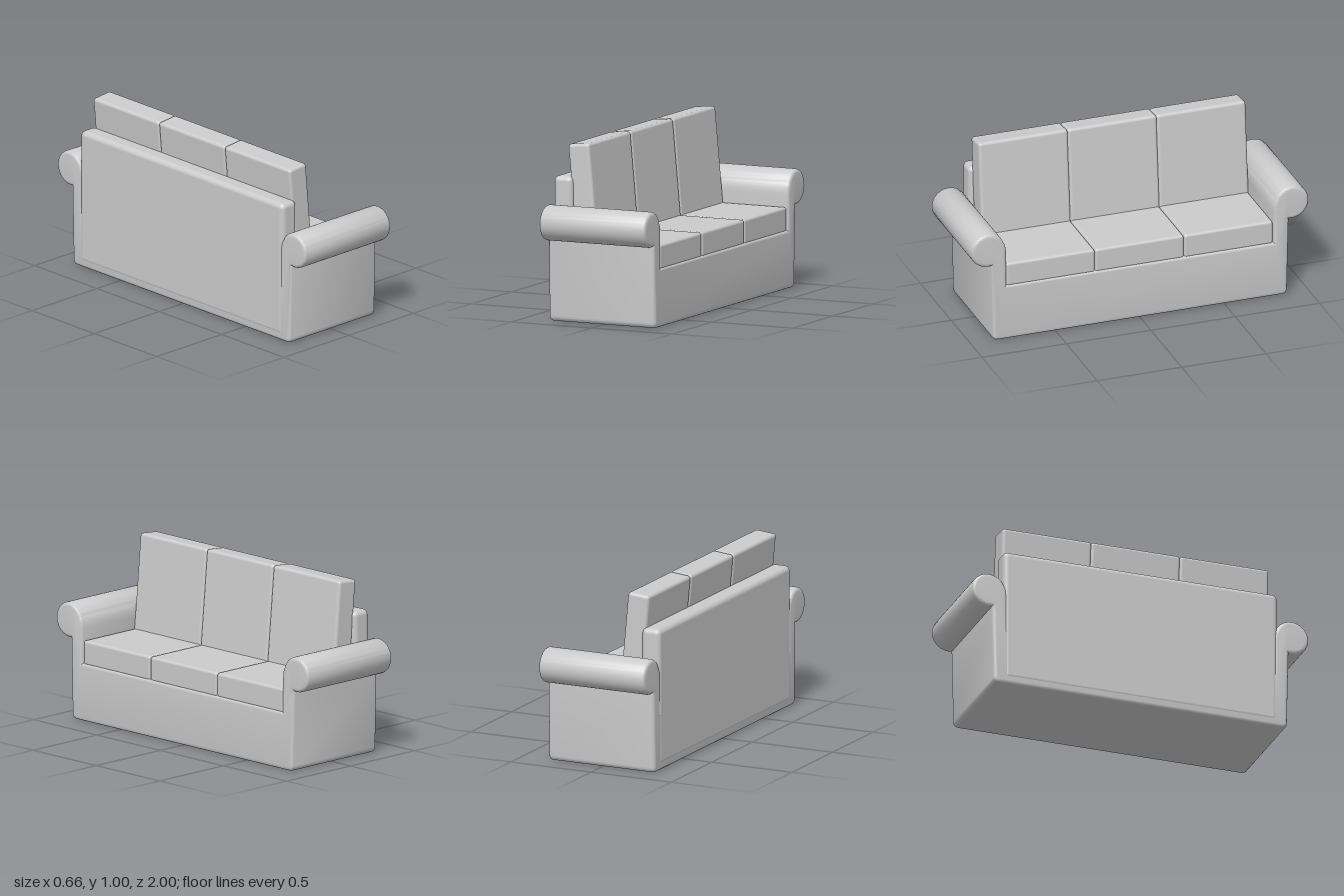
import * as THREE from 'three';
import { toCreasedNormals } from 'three/addons/utils/BufferGeometryUtils.js';
import { RoundedBoxGeometry } from 'three/addons/geometries/RoundedBoxGeometry.js';

const material = new THREE.MeshStandardMaterial({ color: 0xcccccc });

// Rounded block centred at x, y, z, optionally leaning back
function cushion(name, size, position, radius, lean = 0) {
  const mesh = new THREE.Mesh(new RoundedBoxGeometry(...size, 4, radius), material);
  mesh.name = name;
  mesh.position.set(...position);
  mesh.rotation.z = lean;
  return mesh;
}

// Base and both rolled arms share one cross-section, swept from back to front
function frameGeometry() {
  const deck = 0.33, inner = 0.79, rollZ = 0.9, rollY = 0.56, r = 0.1;
  const s = new THREE.Shape();
  s.moveTo(-0.84, 0);
  s.lineTo(0.84, 0);
  s.quadraticCurveTo(0.872, 0, 0.873, 0.035);
  s.lineTo(0.882, 0.44);
  s.absarc(rollZ, rollY, r, -1.75, Math.PI * 0.9, false);
  s.quadraticCurveTo(inner, 0.57, inner, 0.52);
  s.lineTo(inner, deck);
  s.lineTo(-inner, deck);
  s.lineTo(-inner, 0.52);
  s.quadraticCurveTo(-inner, 0.57, -rollZ - r * Math.cos(Math.PI * 0.9), rollY + r * Math.sin(Math.PI * 0.9));
  s.absarc(-rollZ, rollY, r, Math.PI * 0.1, Math.PI + 1.75, false);
  s.lineTo(-0.873, 0.035);
  s.quadraticCurveTo(-0.872, 0, -0.84, 0);

  const bevel = 0.02;
  const geometry = new THREE.ExtrudeGeometry(s, {
    depth: 0.66 - 2 * bevel, curveSegments: 20,
    bevelThickness: bevel, bevelSize: bevel, bevelOffset: -bevel, bevelSegments: 4,
  });
  geometry.translate(0, 0, bevel - 0.33);
  geometry.rotateY(Math.PI / 2);
  return toCreasedNormals(geometry, 0.7);
}

export function createModel() {
  const sofa = new THREE.Group();
  sofa.name = 'sofa';

  const frame = new THREE.Mesh(frameGeometry(), material);
  frame.name = 'baseAndRolledArms';
  sofa.add(frame);

  // Upright back panel
  sofa.add(cushion('backPanel', [0.115, 0.78, 1.63], [-0.275, 0.42, 0], 0.03));

  // Three seat cushions with leaning back cushions behind them
  const pitch = 0.527;
  for (let i = -1; i <= 1; i++) {
    const z = i * pitch;
    sofa.add(cushion('seatCushion', [0.53, 0.14, pitch - 0.002], [0.055, 0.39, z], 0.015));
    sofa.add(cushion('backCushion', [0.132, 0.58, pitch + 0.002], [-0.162, 0.706, z], 0.018, 0.092));
  }
  return sofa;
}
